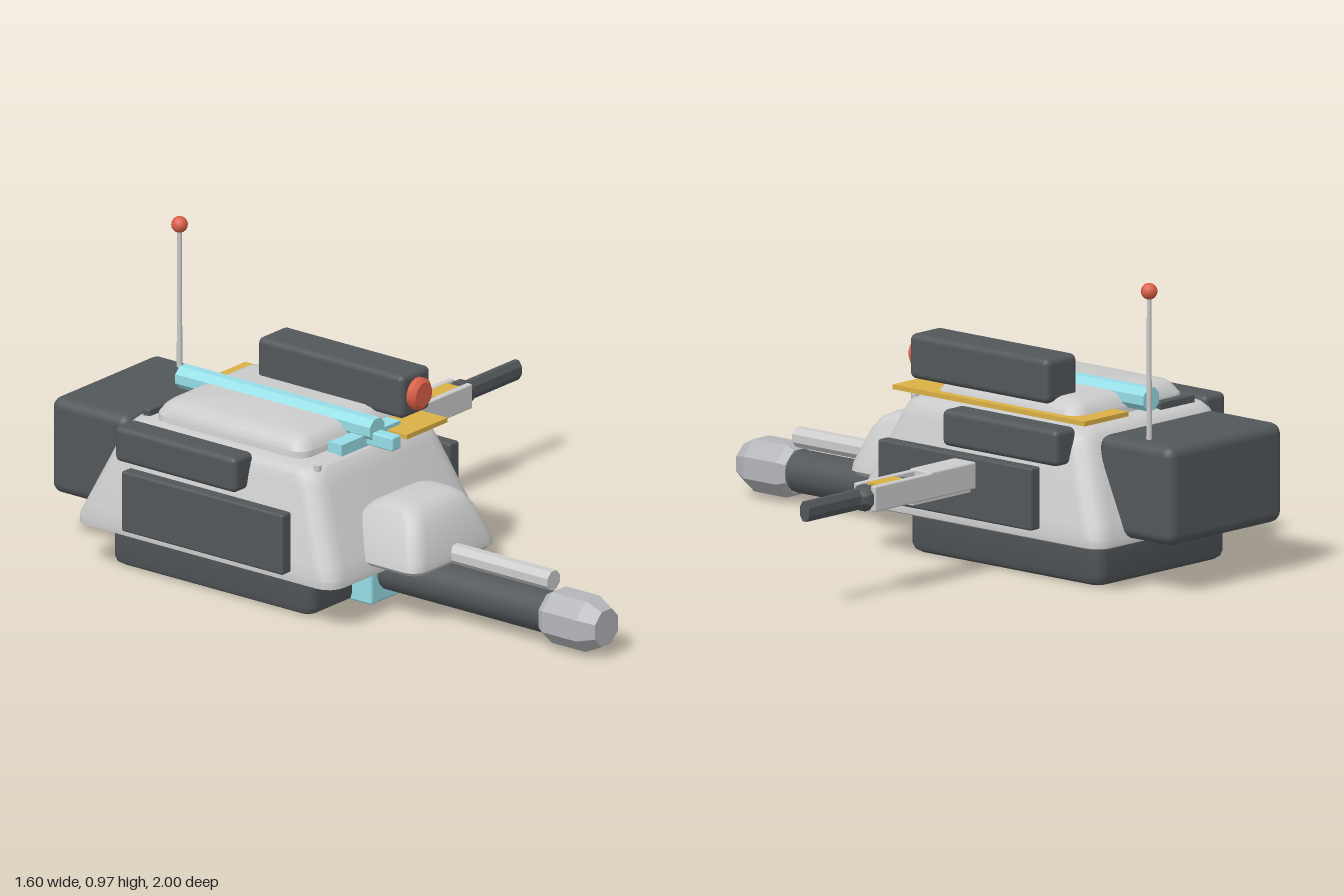
import * as THREE from 'three';
import { toCreasedNormals } from 'three/addons/utils/BufferGeometryUtils.js';
import { RoundedBoxGeometry } from 'three/addons/geometries/RoundedBoxGeometry.js';

const mat = (color, flatShading = false) => new THREE.MeshStandardMaterial({ color, flatShading });
const GREY = mat(0xcccccc);
const STEEL = mat(0xb4b6ba, true);
const DARK = mat(0x52575a);
const CYAN = mat(0x96dde6);
const YELLOW = mat(0xdbb045);
const RED = mat(0xdc6048);
const MID = -0.368; // centre line of the turret

// Stacks rounded rectangles [y, x0, x1, z0, z1, cornerRadius] from bottom to top
function loft(rows) {
  const steps = 4, n = 4 * (steps + 1), pos = [], idx = [];
  const centre = (r) => pos.push((r[1] + r[2]) / 2, r[0], (r[3] + r[4]) / 2);
  for (const [y, x0, x1, z0, z1, r] of rows) {
    const corners = [[x1 - r, z1 - r], [x0 + r, z1 - r], [x0 + r, z0 + r], [x1 - r, z0 + r]];
    corners.forEach(([cx, cz], q) => {
      for (let s = 0; s <= steps; s++) {
        const a = (q + s / steps) * Math.PI / 2;
        pos.push(cx + r * Math.cos(a), y, cz + r * Math.sin(a));
      }
    });
  }
  centre(rows[0]);
  centre(rows[rows.length - 1]);
  const bottom = rows.length * n, top = bottom + 1, last = (rows.length - 1) * n;
  for (let i = 0; i < n; i++) {
    const k = (i + 1) % n;
    for (let j = 0; j < rows.length - 1; j++) {
      const a = j * n + i, b = j * n + k;
      idx.push(a, a + n, b, b, a + n, b + n);
    }
    idx.push(bottom, i, k, top, last + k, last + i);
  }
  const g = new THREE.BufferGeometry();
  g.setAttribute('position', new THREE.Float32BufferAttribute(pos, 3));
  g.setIndex(idx);
  return toCreasedNormals(g, 0.5);
}

export function createModel() {
  const model = new THREE.Group();
  model.name = 'turret';

  const add = (name, geometry, material) => {
    const mesh = new THREE.Mesh(geometry, material);
    mesh.name = name;
    model.add(mesh);
    return mesh;
  };
  // Box given by its limits, rounded when r > 0
  const box = (name, x0, x1, y0, y1, z0, z1, material, r = 0) => {
    const size = [x1 - x0, y1 - y0, z1 - z0];
    const g = r ? new RoundedBoxGeometry(...size, 3, r) : new THREE.BoxGeometry(...size);
    return add(name, g.translate((x0 + x1) / 2, (y0 + y1) / 2, (z0 + z1) / 2), material);
  };
  // Lathed rod along z or x; profile is a list of [radius, position]
  const rod = (name, axis, profile, a, y, sides, material) => {
    const g = new THREE.LatheGeometry(profile.map((p) => new THREE.Vector2(...p)), sides);
    g.rotateY(Math.PI / sides);
    if (axis === 'z') g.rotateX(Math.PI / 2).translate(a, y, 0);
    else g.rotateZ(-Math.PI / 2).translate(0, y, a);
    return add(name, toCreasedNormals(g, 0.6), material);
  };

  // Turret base, hull and raised roof
  add('turretBase', loft([
    [0.008, -0.645, -0.095, -0.71, 0.045, 0.03],
    [0.018, -0.662, -0.078, -0.725, 0.062, 0.04],
    [0.035, -0.668, -0.07, -0.732, 0.068, 0.045],
    [0.16, -0.668, -0.07, -0.732, 0.068, 0.045],
  ]), DARK);
  add('hull', loft([
    [0.145, -0.735, 0.0, -0.795, 0.205, 0.05],
    [0.152, -0.752, 0.016, -0.812, 0.22, 0.06],
    [0.175, -0.754, 0.018, -0.812, 0.22, 0.065],
    [0.22, -0.743, 0.007, -0.795, 0.203, 0.07],
    [0.44, -0.69, -0.046, -0.698, 0.107, 0.07],
    [0.475, -0.679, -0.057, -0.68, 0.09, 0.07],
    [0.492, -0.663, -0.073, -0.662, 0.074, 0.065],
    [0.5, -0.635, -0.101, -0.635, 0.045, 0.05],
  ]), GREY);
  add('roof', loft([
    [0.48, -0.625, -0.112, -0.6, 0.002, 0.05],
    [0.52, -0.622, -0.115, -0.598, 0, 0.05],
    [0.545, -0.607, -0.13, -0.583, -0.015, 0.05],
    [0.559, -0.59, -0.147, -0.565, -0.033, 0.04],
    [0.565, -0.565, -0.17, -0.54, -0.058, 0.03],
  ]), GREY);
  for (const s of [-1, 1]) {
    add('roofBolt', new THREE.CylinderGeometry(0.012, 0.012, 0.02, 10)
      .translate(MID + s * 0.263, 0.493, 0.065), GREY);
  }

  // Gun shield, main gun, muzzle and the small gun above it
  add('gunShield', loft([
    [0.185, -0.555, -0.18, 0.1, 0.395, 0.04],
    [0.2, -0.573, -0.163, 0.1, 0.41, 0.05],
    [0.225, -0.567, -0.169, 0.1, 0.408, 0.05],
    [0.33, -0.525, -0.211, 0.12, 0.37, 0.05],
    [0.365, -0.505, -0.231, 0.16, 0.345, 0.05],
    [0.38, -0.48, -0.256, 0.19, 0.315, 0.04],
    [0.385, -0.455, -0.281, 0.21, 0.285, 0.03],
  ]), GREY);
  rod('gunBarrel', 'z', [[0, 0], [0.068, 0], [0.068, 0.82], [0, 0.82]], MID, 0.108, 16, DARK);
  rod('muzzle', 'z', [[0, 0.785], [0.074, 0.785], [0.09, 0.81], [0.09, 0.945], [0.062, 1], [0, 1]],
    MID, 0.108, 8, STEEL);
  rod('upperGun', 'z', [[0, 0.2], [0.033, 0.2], [0.033, 0.79], [0, 0.79]], MID, 0.215, 8, GREY);
  box('gunMount', -0.465, -0.272, 0.01, 0.165, 0.03, 0.145, CYAN, 0.01);

  // Rear stowage box with antenna
  box('rearBox', -0.63, -0.108, 0.168, 0.482, -1, -0.69, DARK, 0.035);
  add('antennaRod', new THREE.CylinderGeometry(0.007, 0.009, 0.48, 10).translate(-0.166, 0.71, -0.857), GREY);
  add('antennaTip', new THREE.SphereGeometry(0.026, 16, 12).translate(-0.166, 0.95, -0.857), RED);

  // Stowage boxes and armour plates, mirrored about the centre line
  const sides = (name, d0, d1, y0, y1, z0, z1, r) => {
    box(name + 'Left', MID + d0, MID + d1, y0, y1, z0, z1, DARK, r);
    box(name + 'Right', MID - d1, MID - d0, y0, y1, z0, z1, DARK, r);
  };
  sides('sideBox', 0.295, 0.39, 0.39, 0.505, -0.64, -0.16, 0.018);
  sides('sidePlate', 0.389, 0.435, 0.187, 0.385, -0.575, 0.065, 0.008);

  // Roof fittings: deck plate, vent, spotlight
  box('deckPlate', -0.287, -0.087, 0.506, 0.521, -0.66, 0.142, YELLOW);
  box('rearVent', -0.61, -0.45, 0.49, 0.522, -0.645, -0.617, DARK, 0.006);
  box('spotlightMount', -0.21, -0.14, 0.5, 0.56, -0.4, -0.05, GREY);
  box('spotlight', -0.246, -0.104, 0.545, 0.687, -0.487, 0.092, DARK, 0.02);
  rod('spotlightLens', 'z', [[0, 0.07], [0.052, 0.07], [0.052, 0.108], [0.04, 0.12], [0, 0.12]],
    -0.175, 0.616, 16, RED);

  // Sighting tube on its crossbar
  rod('sightTube', 'z', [[0, -0.682], [0.039, -0.682], [0.039, 0.09], [0, 0.09]], MID, 0.55, 8, CYAN);
  box('sightCrossbar', -0.512, -0.222, 0.496, 0.533, 0.012, 0.065, CYAN);
  box('sightBracket', MID - 0.022, MID + 0.022, 0.5, 0.545, 0.04, 0.168, CYAN, 0.006);

  // Side gun: receiver, two rails around the bolt, barrel
  const z = -0.298;
  box('sideGunReceiver', -0.02, 0.27, 0.287, 0.372, z - 0.046, z + 0.046, GREY, 0.006);
  box('sideGunGuide', 0.02, 0.33, 0.274, 0.29, z - 0.025, z + 0.025, GREY);
  for (const s of [-1, 1]) {
    const c = z + s * 0.035;
    box('sideGunRail', 0.26, 0.525, 0.287, 0.368, c - 0.011, c + 0.011, GREY, 0.005);
  }
  box('sideGunBed', 0.26, 0.52, 0.287, 0.34, z - 0.026, z + 0.026, GREY);
  box('sideGunBolt', 0.33, 0.53, 0.32, 0.358, z - 0.022, z + 0.022, DARK);
  box('sideGunFeed', 0.37, 0.485, 0.33, 0.366, z - 0.025, z + 0.025, YELLOW);
  rod('sideGunCollar', 'x', [[0, 0.5], [0.042, 0.51], [0.042, 0.54], [0.028, 0.56], [0, 0.56]], z, 0.327, 8, DARK);
  const barrel = rod('sideGunBarrel', 'x', [[0, 0.52], [0.034, 0.52], [0.034, 0.8], [0, 0.8]], z, 0.327, 8, DARK);
  barrel.scale.z = 0.62;
  barrel.position.z = z * (1 - 0.62);

  return model;
}
